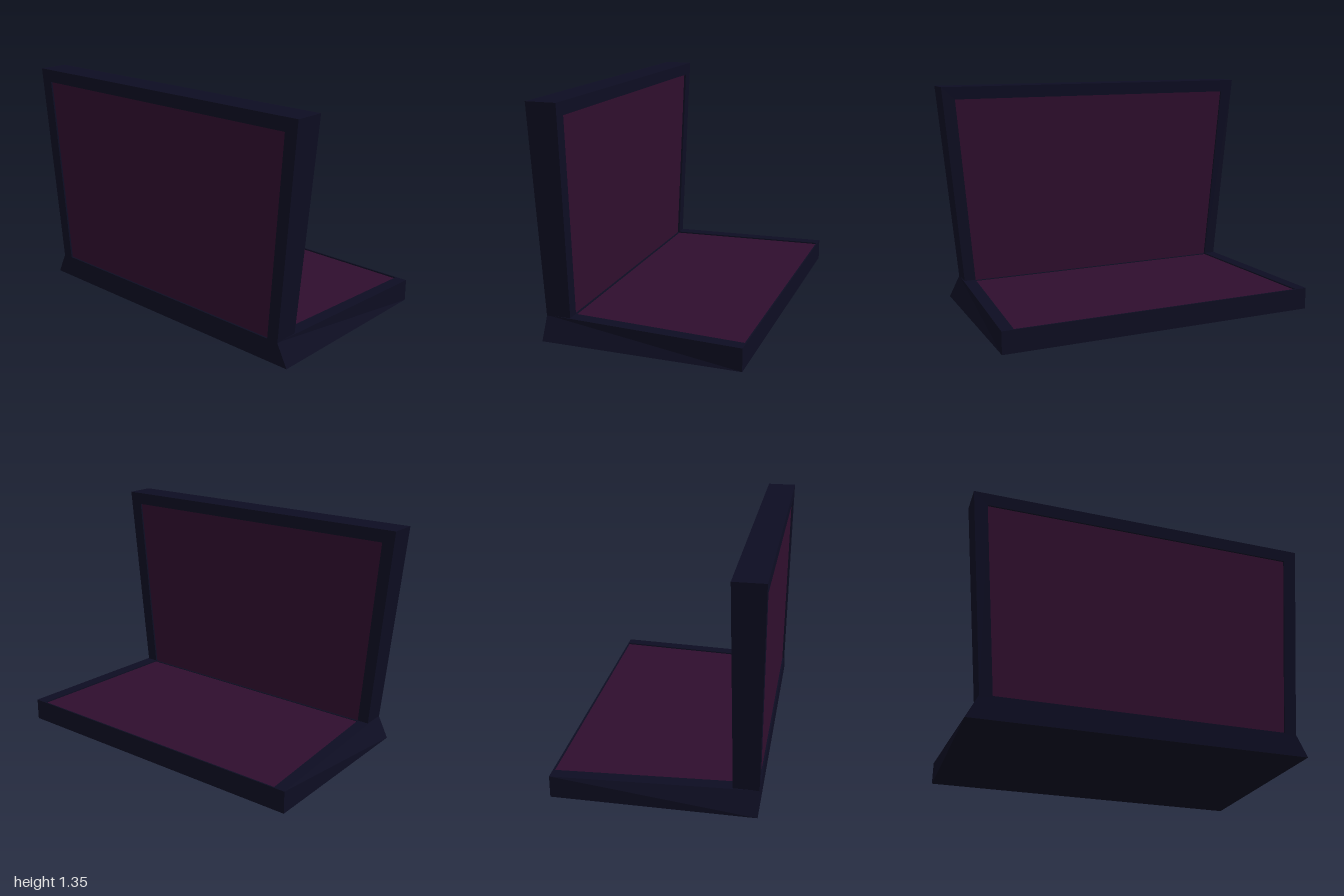
import * as THREE from 'three';

const navy = new THREE.MeshStandardMaterial({ color: 0x0d0d22 });
navy.name = 'darkNavy';
const plum = new THREE.MeshStandardMaterial({ color: 0x2f0e2d });
plum.name = 'darkPlum';

// Flat-shaded mesh from four-cornered faces
function quadMesh(name, quads, material) {
  const points = quads.flatMap(([a, b, c, d]) => [a, b, c, a, c, d]);
  const geometry = new THREE.BufferGeometry();
  geometry.setAttribute('position', new THREE.Float32BufferAttribute(points.flat(), 3));
  geometry.computeVertexNormals();
  const mesh = new THREE.Mesh(geometry, material);
  mesh.name = name;
  return mesh;
}

// Faces joining each four-cornered loop to the next
function bands(loops) {
  const quads = [];
  for (let i = 0; i < loops.length - 1; i++) {
    const [a, b] = [loops[i], loops[i + 1]];
    for (let k = 0; k < 4; k++) {
      const n = (k + 1) % 4;
      quads.push([a[k], b[k], b[n], a[n]]);
    }
  }
  return quads;
}

// Symmetric upright trapezoid: half width, y and z at bottom and top
const upright = (x0, y0, z0, x1, y1, z1) =>
  [[-x0, y0, z0], [x0, y0, z0], [x1, y1, z1], [-x1, y1, z1]];
// Symmetric level trapezoid: half width and z at front and back
const level = (y, x0, z0, x1, z1) =>
  [[-x0, y, z0], [x0, y, z0], [x1, y, z1], [-x1, y, z1]];
const reversed = (loop) => [...loop].reverse();

export function createModel() {
  const model = new THREE.Group();
  model.name = 'foldedScreen';

  // Upright panel: a flaring frame with a shallow recess on both sides
  const screen = new THREE.Group();
  screen.name = 'uprightPanel';
  const s = [
    upright(0.822, 0.135, 0.56, 0.918, 1.27, 0.568),
    upright(0.822, 0.135, 0.57, 0.918, 1.27, 0.578),
    upright(0.89, 0.12, 0.57, 1, 1.345, 0.58),
    upright(0.89, 0.12, 0.427, 1, 1.345, 0.405),
    upright(0.822, 0.135, 0.427, 0.918, 1.27, 0.408),
    upright(0.822, 0.135, 0.439, 0.918, 1.27, 0.42),
  ];
  screen.add(
    quadMesh('panelFrame', bands(s), navy),
    quadMesh('frontInset', [s[0]], plum),
    quadMesh('backInset', [reversed(s[5])], plum),
  );

  // Base slab: the top narrows toward the front, the underside stays square
  const base = new THREE.Group();
  base.name = 'base';
  const b = [
    level(0.132, 0.822, 0.44, 0.885, -0.567),
    level(0.14, 0.822, 0.44, 0.885, -0.567),
    level(0.14, 0.89, 0.57, 0.955, -0.575),
    level(0.01, 0.955, 0.57, 0.955, -0.575),
    level(0, 0.88, 0.4, 0.88, -0.1),
  ];
  base.add(
    quadMesh('baseFrame', [...bands(b), reversed(b[4])], navy),
    quadMesh('baseInset', [b[0]], plum),
  );

  model.add(screen, base);
  return model;
}
